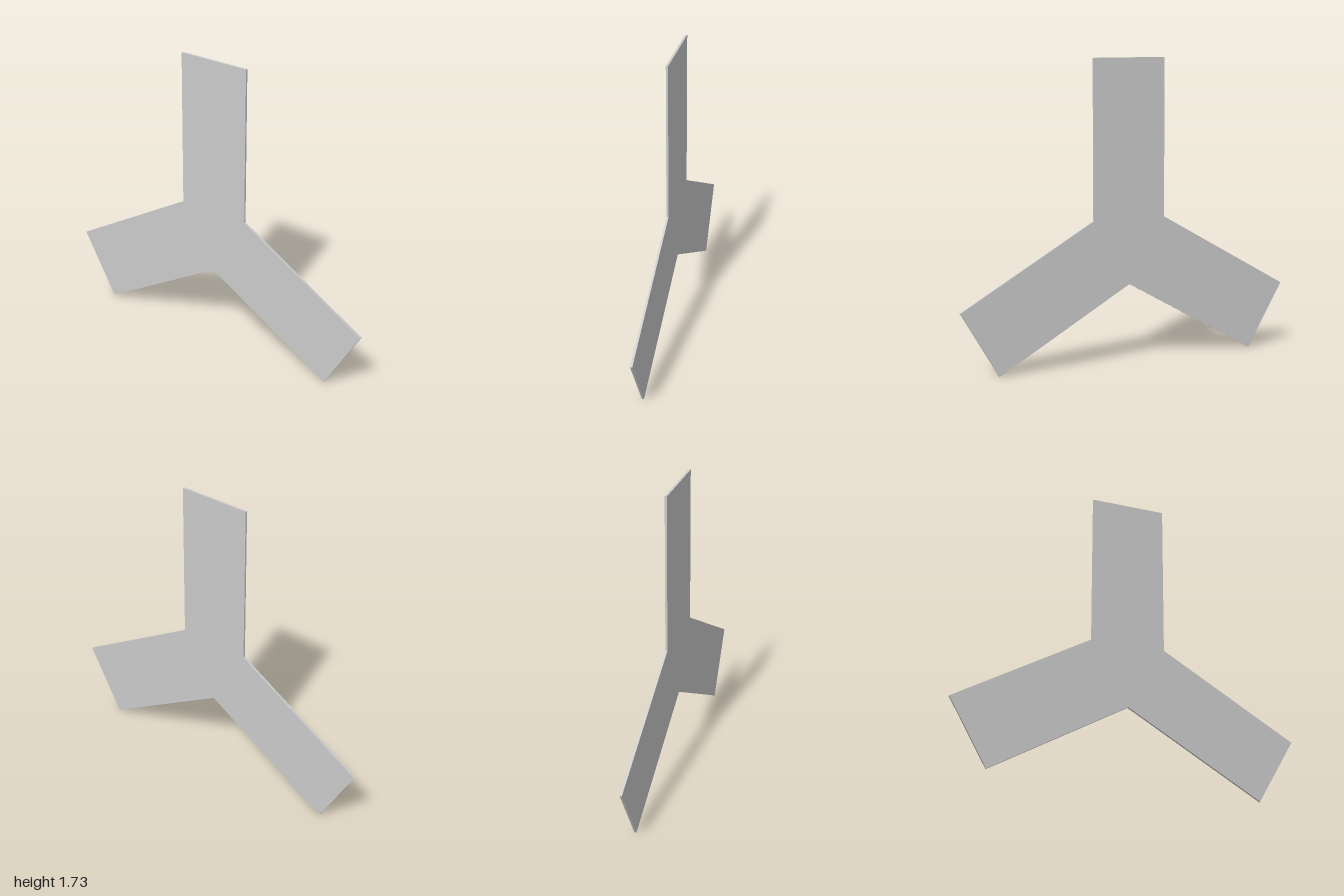
import * as THREE from 'three';

const ARM_WIDTH = 0.434;
const ARM_LENGTH = 0.904;
const BACK = -0.01, FRONT = 0.002;

export function createModel() {
  const model = new THREE.Group();
  model.name = 'threeArmPlate';

  // Three equal arms around a triangular hub: two outer corners and one inner corner per arm
  const inradius = ARM_WIDTH / (2 * Math.sqrt(3));
  const centre = new THREE.Vector2(0, ARM_LENGTH / 2 + 2 * inradius);
  const origin = new THREE.Vector2();
  const outline = [];
  for (let i = 0; i < 3; i++) {
    const turn = i * Math.PI * 2 / 3;
    const corners = [
      [ARM_WIDTH / 2, inradius + ARM_LENGTH],
      [-ARM_WIDTH / 2, inradius + ARM_LENGTH],
      [-ARM_WIDTH / 2, inradius],
    ];
    for (const [x, y] of corners) {
      outline.push(new THREE.Vector2(x, y).rotateAround(origin, turn).add(centre));
    }
  }

  // Thin flat plate
  const geometry = new THREE.ExtrudeGeometry(new THREE.Shape(outline), {
    depth: FRONT - BACK,
    bevelEnabled: false,
  });
  geometry.translate(0, 0, BACK);
  const plate = new THREE.Mesh(geometry, new THREE.MeshStandardMaterial({ color: 0xcccccc }));
  plate.name = 'plate';
  model.add(plate);

  return model;
}
